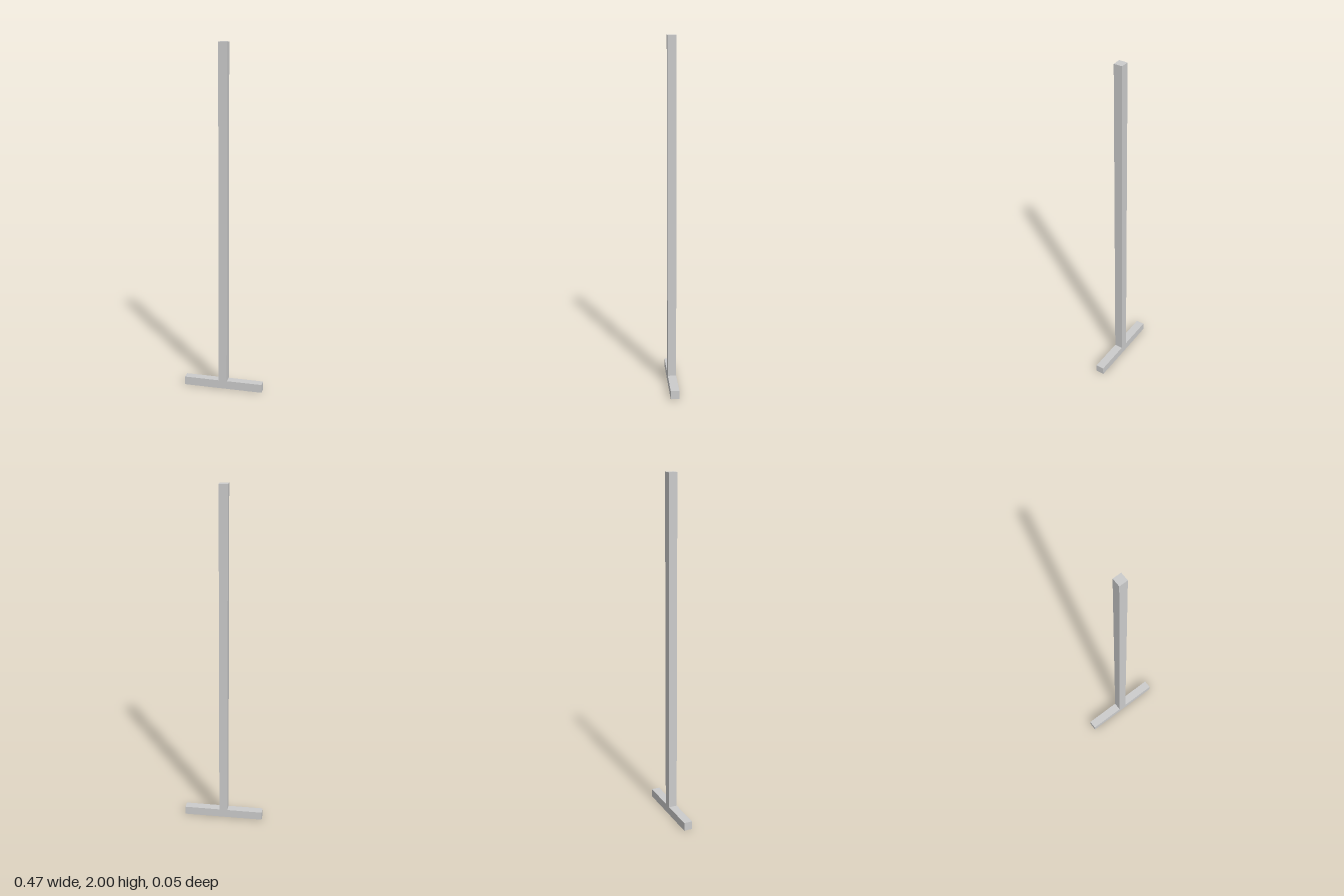
import * as THREE from 'three';

const HEIGHT = 2;
const BAR = 0.049; // square section shared by post and foot
const FOOT_HALF = 0.233;

export function createModel() {
  const group = new THREE.Group();
  group.name = 'postWithFoot';

  // Upside-down T outline: a slim post rising from a short foot bar
  const h = BAR / 2;
  const outline = new THREE.Shape([
    [-FOOT_HALF, 0], [FOOT_HALF, 0], [FOOT_HALF, BAR], [h, BAR],
    [h, HEIGHT], [-h, HEIGHT], [-h, BAR], [-FOOT_HALF, BAR],
  ].map(([x, y]) => new THREE.Vector2(x, y)));

  const geometry = new THREE.ExtrudeGeometry(outline, { depth: BAR, bevelEnabled: false });
  geometry.translate(0, 0, -h);

  const material = new THREE.MeshStandardMaterial({ color: 0xcccccc, flatShading: true });
  const post = new THREE.Mesh(geometry, material);
  post.name = 'postAndFoot';
  group.add(post);
  return group;
}
